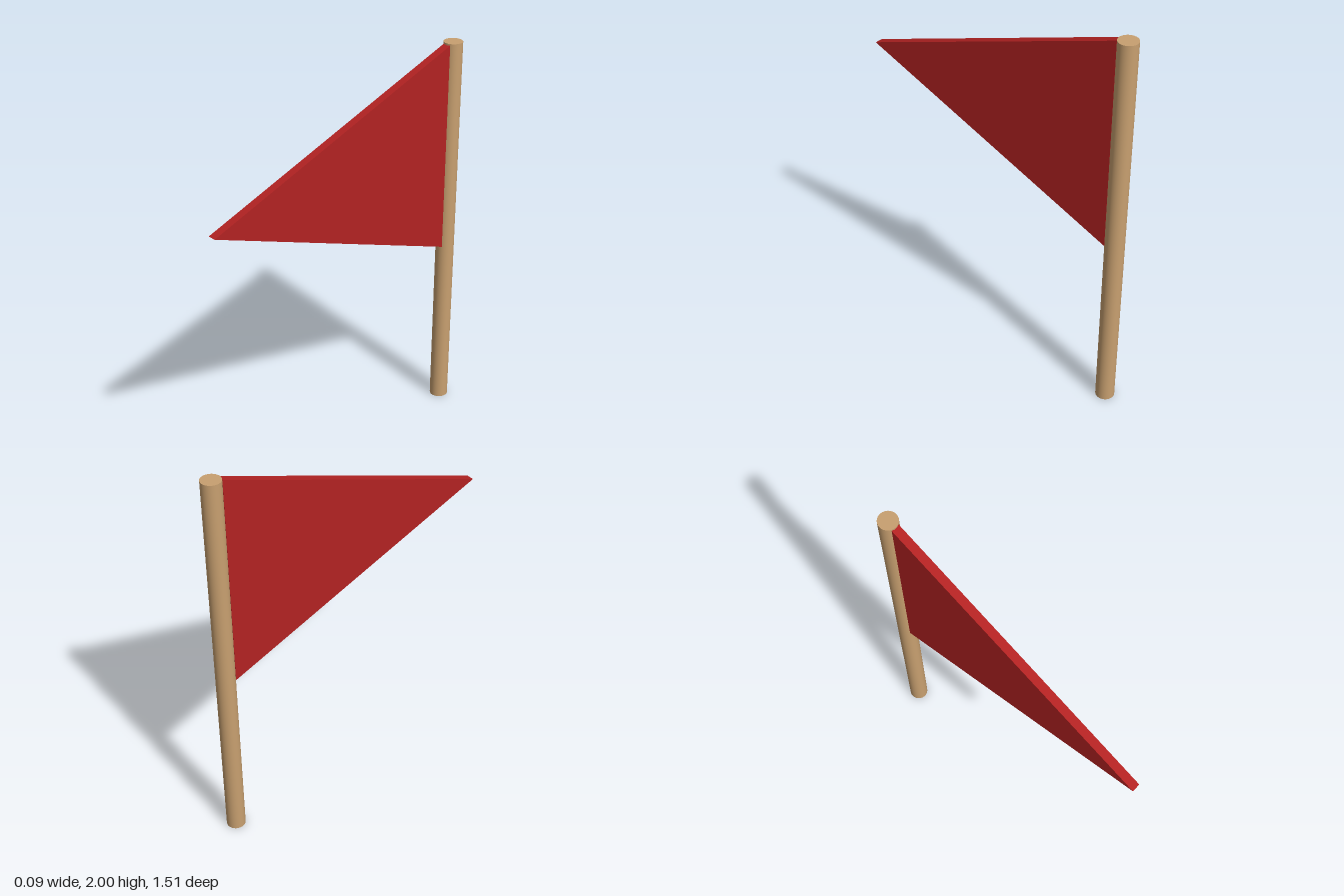
import * as THREE from 'three';

export function createModel() {
  const group = new THREE.Group();
  const wood = new THREE.MeshStandardMaterial({ color: 0xc8a070 });
  wood.name = 'tan wood';
  const cloth = new THREE.MeshStandardMaterial({ color: 0xb22222 });
  cloth.name = 'red cloth';

  // Round upright pole at the back
  const pole = new THREE.Mesh(new THREE.CylinderGeometry(0.047, 0.047, 2, 32), wood);
  pole.name = 'pole';
  pole.position.set(0, 1, -0.708);
  group.add(pole);

  // Triangular pennant: drawn with shape x along the model's z
  const thickness = 0.042;
  const outline = new THREE.Shape([
    new THREE.Vector2(-0.665, 0.92),
    new THREE.Vector2(0.755, 1.456),
    new THREE.Vector2(-0.665, 1.992),
  ]);
  const geometry = new THREE.ExtrudeGeometry(outline, { depth: thickness, bevelEnabled: false });
  geometry.translate(0, 0, -thickness / 2);
  geometry.rotateY(-Math.PI / 2);
  const pennant = new THREE.Mesh(geometry, cloth);
  pennant.name = 'pennant';
  group.add(pennant);

  return group;
}
